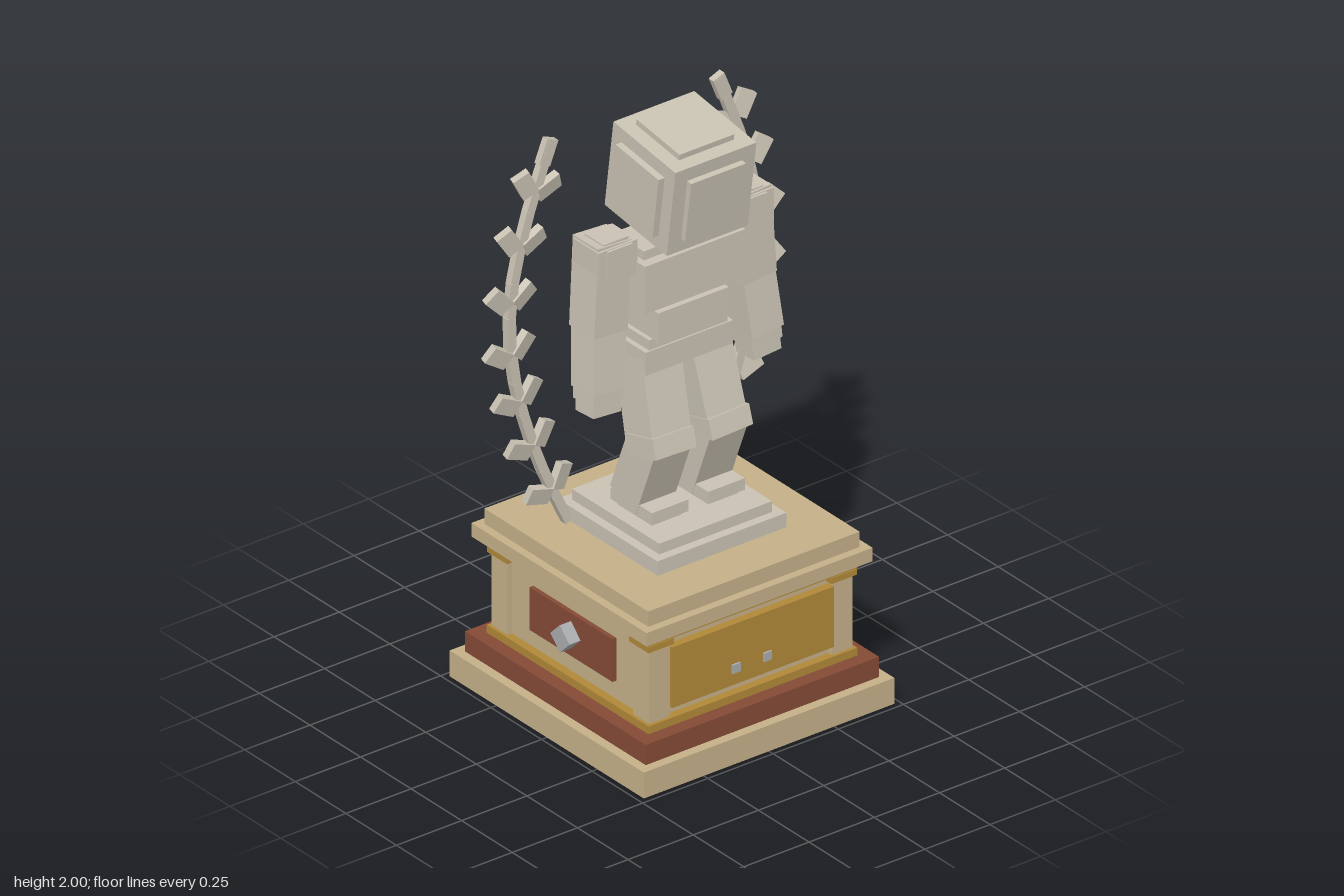
import * as THREE from 'three';

const mat = (name, color) => {
  const m = new THREE.MeshStandardMaterial({ color });
  m.name = name;
  return m;
};

export function createModel() {
  const root = new THREE.Group();
  const stone = mat('pale stone', 0xc9c2b3);
  const tan = mat('tan stone', 0xc4b088);
  const gold = mat('gold', 0xb08838);
  const red = mat('red marble', 0x844a36);
  const silver = mat('silver', 0xa9abad);

  // Box by size and centre
  const box = (parent, name, m, w, h, d, x, y, z) => {
    const b = new THREE.Mesh(new THREE.BoxGeometry(w, h, d), m);
    b.name = name;
    b.position.set(x, y, z);
    parent.add(b);
    return b;
  };
  // Square slab between two heights
  const slab = (parent, name, m, half, y0, y1) =>
    box(parent, name, m, half * 2, y1 - y0, half * 2, 0, (y0 + y1) / 2, 0);
  // Box running between two points
  const limb = (parent, name, a, b, w, d) => {
    const from = new THREE.Vector3(...a), to = new THREE.Vector3(...b);
    const dir = to.clone().sub(from), mid = from.clone().add(to).multiplyScalar(0.5);
    const m = box(parent, name, stone, w, dir.length(), d, mid.x, mid.y, mid.z);
    m.quaternion.setFromUnitVectors(new THREE.Vector3(0, -1, 0), dir.normalize());
    return m;
  };
  const group = (name) => {
    const g = new THREE.Group();
    g.name = name;
    root.add(g);
    return g;
  };

  // Pedestal tiers
  const pedestal = group('pedestal');
  slab(pedestal, 'base', tan, 0.48, 0, 0.09);
  slab(pedestal, 'redTier', red, 0.447, 0.09, 0.16);
  slab(pedestal, 'lowerTrim', gold, 0.4, 0.16, 0.187);
  slab(pedestal, 'core', tan, 0.372, 0.187, 0.465);
  slab(pedestal, 'upperTrim', gold, 0.4, 0.463, 0.49);
  slab(pedestal, 'cornice', tan, 0.433, 0.49, 0.537);
  slab(pedestal, 'top', tan, 0.405, 0.537, 0.59);
  for (const x of [-0.35, 0.35]) for (const z of [-0.35, 0.35]) {
    box(pedestal, 'pilaster', tan, 0.08, 0.255, 0.08, x, 0.315, z);
    box(pedestal, 'pilasterCap', gold, 0.098, 0.02, 0.098, x, 0.45, z);
  }

  // Front panel with two studs
  box(pedestal, 'frontPanel', gold, 0.62, 0.21, 0.03, 0, 0.325, 0.385);
  for (const x of [-0.067, 0.053])
    box(pedestal, 'stud', silver, 0.03, 0.03, 0.008, x, 0.278, 0.403);

  // Red panels and diamonds on the other three sides
  for (const turn of [Math.PI / 2, Math.PI, -Math.PI / 2]) {
    const side = new THREE.Group();
    side.name = 'sidePanel';
    side.rotation.y = turn;
    box(side, 'redPanel', red, 0.41, 0.148, 0.02, 0, 0.325, 0.377);
    box(side, 'diamond', silver, 0.067, 0.067, 0.048, 0, 0.325, 0.406).rotation.z = Math.PI / 4;
    pedestal.add(side);
  }

  // Steps below the figure
  const figure = group('figure');
  slab(figure, 'lowerStep', stone, 0.247, 0.59, 0.64);
  slab(figure, 'upperStep', stone, 0.216, 0.64, 0.677);

  // Head: cube with a raised plate on five faces, nodding forward
  const head = new THREE.Group();
  head.name = 'head';
  head.position.set(0, 1.811, 0.042);
  head.rotation.x = 0.14;
  box(head, 'skull', stone, 0.31, 0.31, 0.31, 0, 0, 0);
  box(head, 'sidePlates', stone, 0.356, 0.215, 0.215, 0, 0, 0);
  box(head, 'facePlates', stone, 0.21, 0.215, 0.35, 0, 0, 0);
  box(head, 'crownPlate', stone, 0.21, 0.1, 0.215, 0, 0.125, 0);
  figure.add(head);

  // Torso
  box(figure, 'neck', stone, 0.18, 0.06, 0.12, 0, 1.635, 0.005);
  box(figure, 'chest', stone, 0.34, 0.215, 0.15, 0, 1.508, 0.005);
  box(figure, 'breastplate', stone, 0.385, 0.165, 0.205, 0, 1.502, 0.012);
  box(figure, 'abdomen', stone, 0.245, 0.15, 0.15, 0, 1.35, 0.01);
  box(figure, 'belly', stone, 0.27, 0.1, 0.2, 0, 1.35, 0.007);
  box(figure, 'waist', stone, 0.3, 0.04, 0.16, 0, 1.28, 0);
  box(figure, 'pelvis', stone, 0.335, 0.08, 0.172, 0, 1.225, 0);

  for (const s of [-1, 1]) {
    // Arm
    limb(figure, 'upperArm', [s * 0.268, 1.665, 0], [s * 0.286, 1.36, 0.005], 0.128, 0.125);
    limb(figure, 'forearm', [s * 0.285, 1.38, 0.005], [s * 0.303, 1.17, 0.028], 0.122, 0.115);
    limb(figure, 'hand', [s * 0.3, 1.2, 0.024], [s * 0.308, 1.09, 0.032], 0.105, 0.09);
    limb(figure, 'cuff', [s * 0.301, 1.19, 0.025], [s * 0.305, 1.13, 0.029], 0.116, 0.1);
    box(figure, 'shoulder', stone, 0.15, 0.12, 0.125, s * 0.262, 1.6, 0.008);
    box(figure, 'shoulderPlate', stone, 0.095, 0.095, 0.142, s * 0.258, 1.61, 0.008);
    box(figure, 'shoulderCap', stone, 0.095, 0.02, 0.095, s * 0.258, 1.662, 0.008);

    // Leg
    limb(figure, 'thigh', [s * 0.094, 1.215, 0], [s * 0.108, 0.925, 0.077], 0.148, 0.14);
    limb(figure, 'knee', [s * 0.107, 0.975, 0.078], [s * 0.109, 0.91, 0.096], 0.156, 0.135);
    limb(figure, 'shin', [s * 0.108, 0.965, 0.085], [s * 0.108, 0.715, -0.012], 0.143, 0.135);
    box(figure, 'foot', stone, 0.14, 0.04, 0.205, s * 0.108, 0.712, 0.028);
    box(figure, 'sole', stone, 0.115, 0.05, 0.17, s * 0.108, 0.7, 0.028);

    // Laurel branch: square stem with paired leaves
    const branch = group(s > 0 ? 'leftLaurel' : 'rightLaurel');
    const curve = new THREE.CatmullRomCurve3([
      [0.255, 0.595], [0.35, 0.8], [0.43, 1.03], [0.474, 1.26],
      [0.47, 1.45], [0.425, 1.65], [0.372, 1.8], [0.32, 1.935],
    ].map(([x, y]) => new THREE.Vector3(s * x, y, -0.19)));
    const points = curve.getSpacedPoints(12);
    for (let i = 0; i < 12; i++)
      limb(branch, 'stem', points[i].toArray(), points[i + 1].toArray(), 0.032, 0.026);

    for (const t of [0.085, 0.22, 0.345, 0.47, 0.6, 0.735, 0.865]) {
      const p = curve.getPointAt(t), tan2 = curve.getTangentAt(t);
      for (const k of [-1, 1]) {
        const angle = Math.atan2(tan2.y, tan2.x) + k * 0.85;
        const leaf = box(branch, 'leaf', stone, 0.085, 0.058, 0.025,
          p.x + Math.cos(angle) * 0.062, p.y + Math.sin(angle) * 0.062, -0.19);
        leaf.rotation.set(k * s * 0.25, 0, angle, 'ZYX');
      }
    }
    limb(branch, 'tipLeaf', [s * 0.35, 1.86, -0.19], [s * 0.318, 1.94, -0.19], 0.045, 0.024);
  }
  return root;
}
